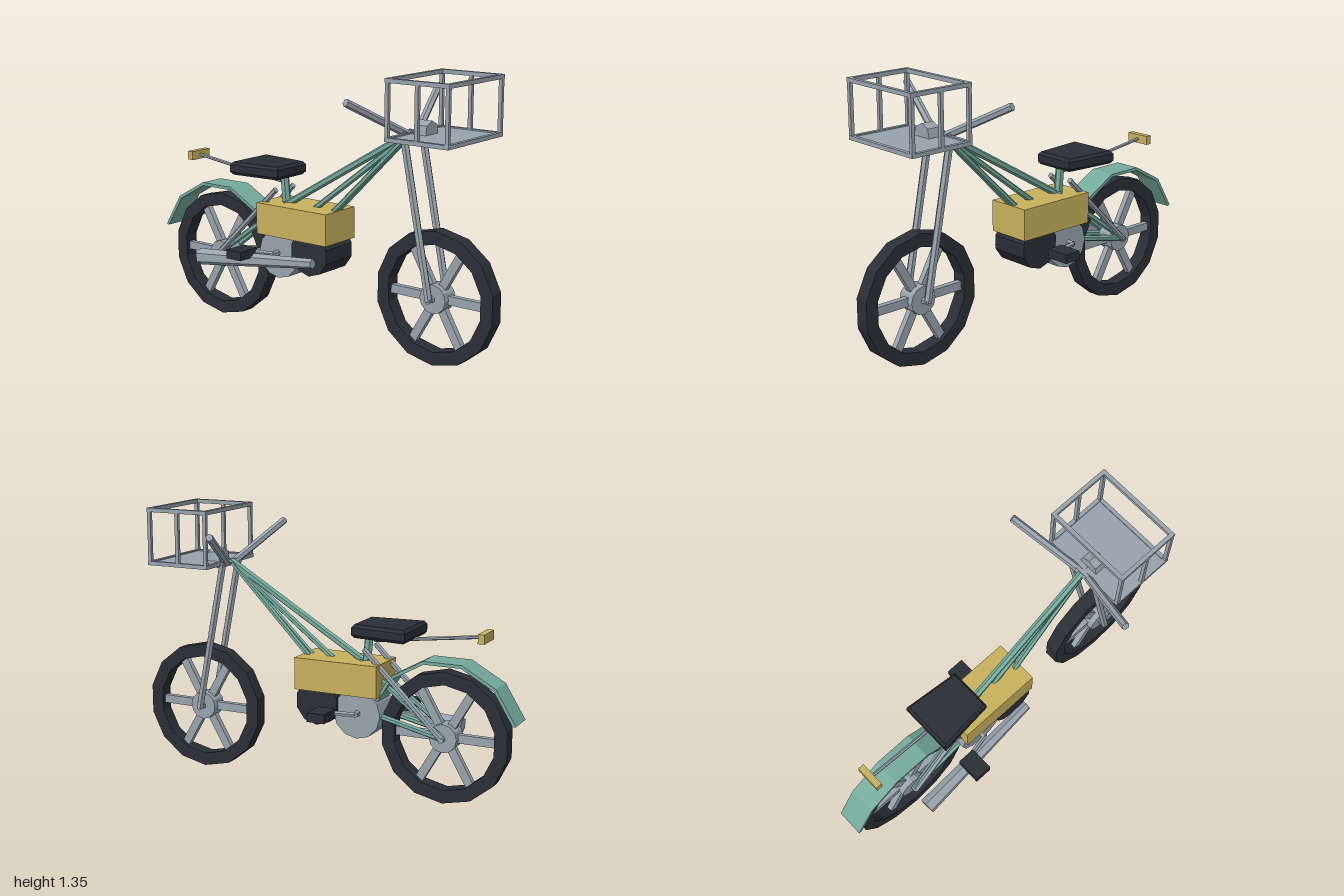
import * as THREE from 'three';

const mat = (color) => new THREE.MeshStandardMaterial({ color, flatShading: true, side: THREE.DoubleSide });

export function createModel() {
  const bike = new THREE.Group();
  bike.name = 'bike';
  const steel = mat(0x98a3ad), dark = mat(0x2a2e35), teal = mat(0x74aa9c), gold = mat(0xc8b05c);

  const add = (name, geo, material, parent = bike) => {
    const mesh = new THREE.Mesh(geo, material);
    mesh.name = name;
    parent.add(mesh);
    return mesh;
  };
  const box = (name, size, pos, material, parent) => {
    const mesh = add(name, new THREE.BoxGeometry(...size), material, parent);
    mesh.position.set(...pos);
    return mesh;
  };
  // Straight tube from a to b, optionally tapered
  const rod = (name, a, b, r, material, r2 = r, sides = 6, parent = bike) => {
    const p = new THREE.Vector3(...a), q = new THREE.Vector3(...b);
    const mesh = add(name, new THREE.CylinderGeometry(r2, r, p.distanceTo(q), sides), material, parent);
    mesh.position.copy(p).add(q).multiplyScalar(0.5);
    mesh.quaternion.setFromUnitVectors(new THREE.Vector3(0, 1, 0), q.sub(p).normalize());
    return mesh;
  };
  // Drum whose axis runs across the bike
  const drum = (name, r, width, sides, y, z, material, parent) => {
    const geo = new THREE.CylinderGeometry(r, r, width, sides).rotateX(-Math.PI / 2).rotateY(Math.PI / 2);
    const mesh = add(name, geo, material, parent);
    mesh.position.set(0, y, z);
    return mesh;
  };
  const ring = (r, a0, a1, n) => Array.from({ length: n + 1 }, (_, i) => {
    const a = a0 + (a1 - a0) * i / n;
    return new THREE.Vector2(Math.cos(a) * r, Math.sin(a) * r);
  });
  // Side profile extruded across the bike, centred on x = 0 (profile +x becomes -z)
  const sideExtrude = (shape, width) => new THREE.ExtrudeGeometry(shape, { depth: width, bevelEnabled: false })
    .translate(0, 0, -width / 2).rotateY(Math.PI / 2);

  // Wheels: 14-sided tyre, six spokes, hub
  const axleY = 0.323, frontZ = 0.683, rearZ = -0.635;
  const wheel = (name, z) => {
    const g = new THREE.Group();
    g.name = name;
    g.position.set(0, axleY, z);
    const q = Math.PI / 2;
    const shape = new THREE.Shape(ring(0.323, q, q + 2 * Math.PI, 14).slice(0, 14));
    shape.holes.push(new THREE.Path(ring(0.258, q + 2 * Math.PI, q, 14).slice(0, 14)));
    add('tyre', sideExtrude(shape, 0.072), dark, g);
    for (let i = 0; i < 6; i++) {
      const a = i * Math.PI / 3;
      const spoke = box('spoke', [0.03, 0.042, 0.25], [0, -Math.sin(a) * 0.135, Math.cos(a) * 0.135], steel, g);
      spoke.rotation.x = a;
    }
    drum('hub', 0.07, 0.09, 12, 0, 0, steel, g);
    bike.add(g);
  };
  wheel('frontWheel', frontZ);
  wheel('rearWheel', rearZ);

  // Paired parts: fork, handlebars, rear struts and stays
  for (const s of [-1, 1]) {
    rod('forkLeg', [s * 0.075, 0.32, frontZ], [s * 0.075, 1.085, 0.53], 0.019, steel);
    rod('handlebar', [s * 0.04, 1.075, 0.53], [s * 0.37, 1.248, 0.425], 0.019, steel);
    rod('rearStrut', [s * 0.068, 0.72, -0.235], [s * 0.068, 0.325, rearZ], 0.015, steel);
    rod('seatStay', [s * 0.03, 0.65, -0.2], [s * 0.055, 0.33, rearZ], 0.014, teal);
    rod('chainStay', [s * 0.05, 0.42, -0.2], [s * 0.055, 0.325, rearZ], 0.015, teal);
    rod('downTube', [s * 0.006, 1.08, 0.525], [s * 0.02, 0.52, -0.04], 0.014, teal);
  }
  rod('forkCrown', [-0.085, 1.075, 0.53], [0.085, 1.075, 0.53], 0.018, steel);
  drum('frontAxle', 0.016, 0.17, 6, axleY, frontZ, steel);
  drum('rearAxle', 0.016, 0.15, 6, axleY, rearZ, steel);

  // Frame spine and seat post
  rod('topTube', [0, 1.08, 0.525], [0, 0.62, -0.25], 0.018, teal);
  rod('middleTube', [0, 1.075, 0.525], [0, 0.58, -0.12], 0.015, teal);
  rod('seatPost', [0, 0.42, -0.2], [0, 0.79, -0.235], 0.022, teal);

  // Seat: bevelled slab that widens to the rear
  const outline = new THREE.Shape([[-0.1, 0.2], [0.1, 0.2], [0.125, 0.463], [-0.125, 0.463]]
    .map(([x, z]) => new THREE.Vector2(x, z)));
  const seatGeo = new THREE.ExtrudeGeometry(outline, {
    depth: 0.036, bevelThickness: 0.015, bevelSize: 0.012, bevelSegments: 1,
  }).rotateX(-Math.PI / 2);
  add('seat', seatGeo, dark).position.y = 0.792;

  // Body box and engine drums
  box('batteryBox', [0.23, 0.158, 0.436], [0, 0.573, -0.104], gold);
  drum('engine', 0.113, 0.205, 10, 0.437, 0, dark);
  drum('crankCase', 0.123, 0.17, 12, 0.4, -0.207, steel);

  // Pedals on opposed cranks
  drum('crankAxle', 0.016, 0.24, 6, 0.405, -0.212, steel);
  for (const s of [-1, 1]) {
    const z = -0.212 + s * 0.14;
    rod('crank', [s * 0.115, 0.405, -0.212], [s * 0.145, 0.405, z], 0.013, steel);
    box('pedal', [0.126, 0.045, 0.092], [s * 0.195, 0.405, z], dark);
  }

  // Exhaust on the right side, flaring to the rear
  rod('exhaust', [-0.172, 0.332, -0.655], [-0.14, 0.405, 0.055], 0.043, steel, 0.025, 6);

  // Rear mudguard: faceted arc over the wheel
  const a0 = 17 * Math.PI / 180, a1 = Math.PI - a0;
  const guard = new THREE.Shape([...ring(0.382, a0, a1, 5), ...ring(0.366, a1, a0, 5)]);
  add('rearMudguard', sideExtrude(guard, 0.137), teal).position.set(0, axleY, rearZ);

  // Tail light on its stalk
  rod('tailStalk', [0, 0.752, -0.26], [0, 0.822, -0.81], 0.009, steel);
  box('tailLight', [0.128, 0.045, 0.032], [0, 0.823, -0.82], gold);

  // Headlight
  rod('headlightBracket', [0, 1.075, 0.53], [0, 1.06, 0.7], 0.013, steel);
  const lamp = add('headlight', new THREE.CylinderGeometry(0.053, 0.053, 0.066, 7).rotateX(-Math.PI / 2), steel);
  lamp.position.set(0, 1.09, 0.602);

  // Front basket: floor, rails and posts
  const basket = new THREE.Group();
  basket.name = 'basket';
  bike.add(basket);
  const t = 0.02, bx = 0.218, z0 = 0.542, z1 = 0.86, zm = (z0 + z1) / 2;
  box('basketFloor', [2 * bx, 0.014, z1 - z0], [0, 1.073, zm], steel, basket);
  for (const y of [1.076, 1.34]) {
    for (const z of [z0, z1]) box('crossRail', [2 * bx + t, t, t], [0, y, z], steel, basket);
    for (const s of [-1, 1]) box('sideRail', [t, t, z1 - z0], [s * bx, y, zm], steel, basket);
  }
  for (const s of [-1, 1])
    for (const z of [z0, zm, z1]) box('post', [0.018, 0.264, 0.018], [s * bx, 1.208, z], steel, basket);

  return bike;
}
